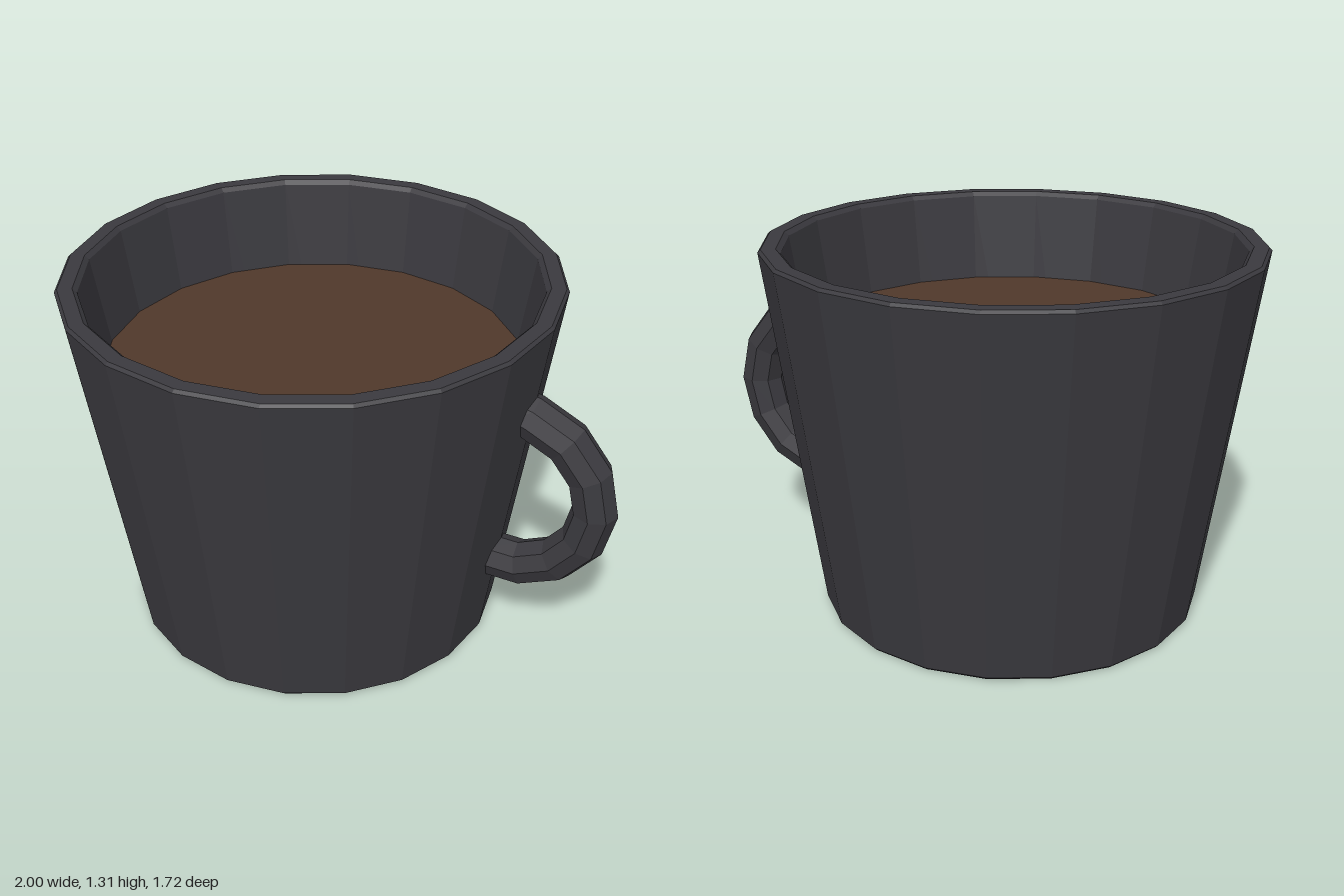
import * as THREE from 'three';

const SIDES = 20;
const CUP_X = -0.14;

export function createModel() {
  const model = new THREE.Group();
  model.name = 'mug';
  const ceramic = new THREE.MeshStandardMaterial({ color: 0x3a393e, flatShading: true });
  const coffeeMaterial = new THREE.MeshStandardMaterial({ color: 0x50382a, flatShading: true });

  const add = (name, geometry, material, x, y) => {
    const mesh = new THREE.Mesh(geometry, material);
    mesh.name = name;
    mesh.position.set(x, y, 0);
    model.add(mesh);
    return mesh;
  };

  // Cup wall: recessed foot, tapered outside, bevelled rim, inside wall and floor
  const profile = [
    [0, 0.03], [0.53, 0.03], [0.54, 0], [0.67, 0], [0.68, 0.01],
    [0.86, 1.3], [0.85, 1.31], [0.8, 1.31], [0.785, 1.295],
    [0.6, 0.1], [0, 0.1],
  ].map(([r, y]) => new THREE.Vector2(r, y));
  add('cup', new THREE.LatheGeometry(profile, SIDES), ceramic, CUP_X, 0);

  // Drink surface
  const drink = new THREE.CircleGeometry(0.735, SIDES).rotateX(-Math.PI / 2);
  add('coffee', drink, coffeeMaterial, CUP_X, 0.98);

  // Handle: faceted ring section whose upper end is pulled back into the wall
  const segments = 8;
  const step = (Math.PI * 2) / 14;
  const ring = new THREE.TorusGeometry(0.31, 0.08, 8, segments, step * segments);
  ring.rotateZ(-step * 4);
  const pos = ring.attributes.position;
  for (let i = segments; i < pos.count; i += segments + 1) {
    pos.setX(i, pos.getX(i) + 0.08);
    pos.setY(i, pos.getY(i) + 0.02);
  }
  ring.computeVertexNormals();
  add('handle', ring, ceramic, 0.61, 0.66);

  return model;
}
